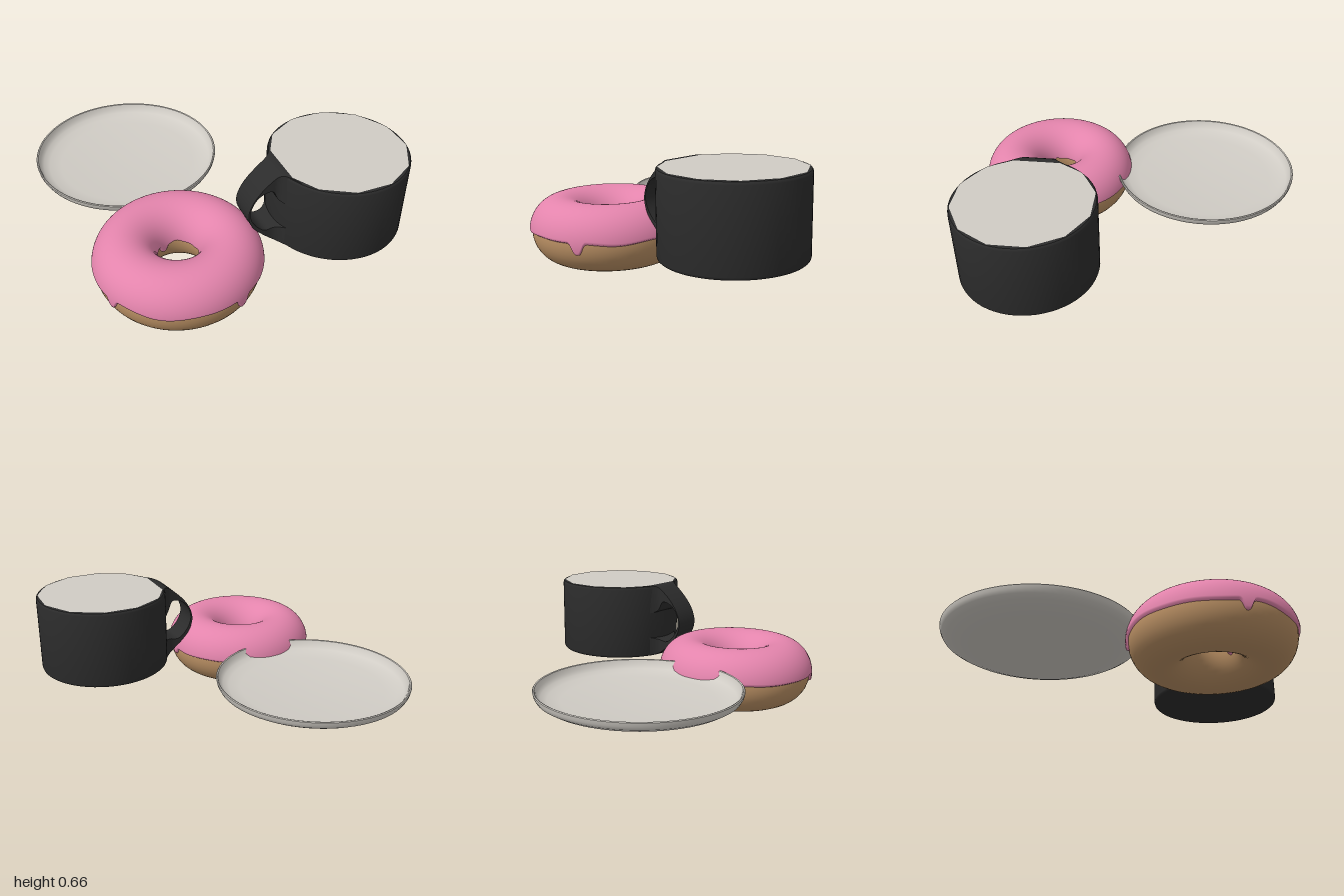
import * as THREE from 'three';
import { toCreasedNormals } from 'three/addons/utils/BufferGeometryUtils.js';
import { ParametricGeometry } from 'three/addons/geometries/ParametricGeometry.js';

const flat = (name, color) => {
  const m = new THREE.MeshStandardMaterial({ color });
  m.name = name;
  return m;
};

function addMesh(parent, name, geometry, material) {
  const mesh = new THREE.Mesh(geometry, material);
  mesh.name = name;
  parent.add(mesh);
  return mesh;
}

// Solid of revolution with crisp edges
function turned(profile, segments) {
  const points = profile.map(([r, y]) => new THREE.Vector2(r, y));
  return toCreasedNormals(new THREE.LatheGeometry(points, segments), 0.6);
}

// Ring swept around y: u runs around the section, v around the ring
const RING = { radius: 0.2925, rx: 0.1675, y: 0.18, ry: 0.18 };
function ringPoint(phi, angle, swell, target) {
  const r = RING.radius + (RING.rx + swell) * Math.cos(phi);
  target.set(r * Math.cos(angle), RING.y + (RING.ry + swell) * Math.sin(phi), r * Math.sin(angle));
}

// Drips as [angle, half width, length in section radians]
const OUTER_DRIPS = [[0.0, 0.06, 0.25], [1.12, 0.07, 0.37], [2.74, 0.06, 0.31], [4.59, 0.07, 0.32]];
const INNER_DRIPS = [[0.9, 0.2, 0.3], [2.4, 0.22, 0.4], [4.3, 0.2, 0.25]];
function dripLength(angle, drips) {
  let length = 0;
  for (const [at, width, depth] of drips) {
    const d = Math.atan2(Math.sin(angle - at), Math.cos(angle - at));
    length += depth * Math.exp(-Math.pow(Math.abs(d / width), 3));
  }
  return length;
}

function icingPoint(u, v, target) {
  const angle = v * Math.PI * 2;
  const wave = 0.03 * Math.sin(angle * 5 + 1) + 0.02 * Math.sin(angle * 8);
  const start = 0.04 + wave - dripLength(angle, OUTER_DRIPS);
  const end = Math.PI - 0.04 - wave + dripLength(angle, INNER_DRIPS);
  // Rounded lip tucked into the dough at both borders
  const edge = Math.min(1, Math.min(u, 1 - u) / 0.035);
  const swell = -0.006 + 0.021 * Math.sqrt(1 - (1 - edge) ** 2);
  ringPoint(start + (end - start) * u, angle, swell, target);
}

// Strap handle lofted through outer and inner rails; third value is half width
function handleGeometry() {
  const rail = (pts) => new THREE.CatmullRomCurve3(pts.map((p) => new THREE.Vector3(...p)));
  const outer = rail([
    [0.25, 0.652, 0.225], [0.165, 0.652, 0.098], [0.1, 0.607, 0.086], [0.035, 0.54, 0.085], [-0.003, 0.475, 0.085],
    [-0.015, 0.41, 0.085], [0.01, 0.335, 0.085], [0.07, 0.268, 0.086], [0.155, 0.2, 0.095], [0.25, 0.19, 0.225],
  ]);
  const inner = rail([
    [0.25, 0.47, 0.225], [0.157, 0.49, 0.095], [0.12, 0.553, 0.086], [0.05, 0.535, 0.085], [0.01, 0.485, 0.085],
    [-0.004, 0.42, 0.085], [0.022, 0.35, 0.085], [0.085, 0.292, 0.086], [0.148, 0.3, 0.092], [0.25, 0.34, 0.225],
  ]);
  const steps = 45;
  const positions = [];
  const index = [];
  for (let i = 0; i <= steps; i++) {
    const o = outer.getPoint(i / steps);
    const n = inner.getPoint(i / steps);
    positions.push(o.x, o.y, o.z, o.x, o.y, -o.z, n.x, n.y, -n.z, n.x, n.y, n.z);
    if (i === steps) break;
    for (let k = 0; k < 4; k++) {
      const a = i * 4 + k;
      const b = i * 4 + ((k + 1) % 4);
      index.push(a, b, b + 4, a, b + 4, a + 4);
    }
  }
  const g = new THREE.BufferGeometry();
  g.setAttribute('position', new THREE.Float32BufferAttribute(positions, 3));
  g.setIndex(index);
  return toCreasedNormals(g, 0.8);
}

export function createModel() {
  const model = new THREE.Group();
  model.name = 'breakfastSet';
  const pink = flat('pinkIcing', 0xe384ac);
  const brown = flat('bakedDough', 0xb98f63);
  const dark = flat('darkCeramic', 0x2c2c2c);
  const pale = flat('paleCeramic', 0xd0ccc5);

  // Doughnut
  const doughnut = new THREE.Group();
  doughnut.name = 'doughnut';
  doughnut.position.set(-0.395, 0, 0.515);
  model.add(doughnut);
  const dough = new ParametricGeometry((u, v, t) => ringPoint(u * Math.PI * 2, v * Math.PI * 2, 0, t), 40, 80);
  addMesh(doughnut, 'dough', dough, brown);
  addMesh(doughnut, 'icing', new ParametricGeometry(icingPoint, 56, 260), pink);

  // Plate
  const plate = addMesh(model, 'plate', turned([
    [0, 0.19], [0.4, 0.19], [0.46, 0.2], [0.52, 0.222], [0.55, 0.24], [0.561, 0.26], [0.565, 0.28],
    [0.561, 0.285], [0.554, 0.282], [0.545, 0.255], [0.525, 0.235], [0.49, 0.222], [0.42, 0.212], [0, 0.21],
  ], 80), pale);
  plate.position.set(-0.395, 0, -0.435);

  // Cup
  const cup = new THREE.Group();
  cup.name = 'cup';
  cup.position.set(0.56, 0, 0.515);
  model.add(cup);
  addMesh(cup, 'cupBody', turned([
    [0, 0.185], [0.375, 0.185], [0.385, 0.187], [0.392, 0.193], [0.395, 0.203], [0.395, 0.637],
    [0.393, 0.646], [0.388, 0.652], [0.38, 0.654], [0.36, 0.654], [0.355, 0.64], [0, 0.64],
  ], 64), dark);

  // Twelve-sided filling, level with the rim
  const filling = addMesh(cup, 'cupFilling', new THREE.CircleGeometry(0.386, 12, Math.PI / 12), pale);
  filling.rotation.x = -Math.PI / 2;
  filling.position.y = 0.6565;

  // Handle facing the doughnut
  const handle = addMesh(model, 'cupHandle', handleGeometry(), dark);
  handle.position.z = 0.515;

  return model;
}
